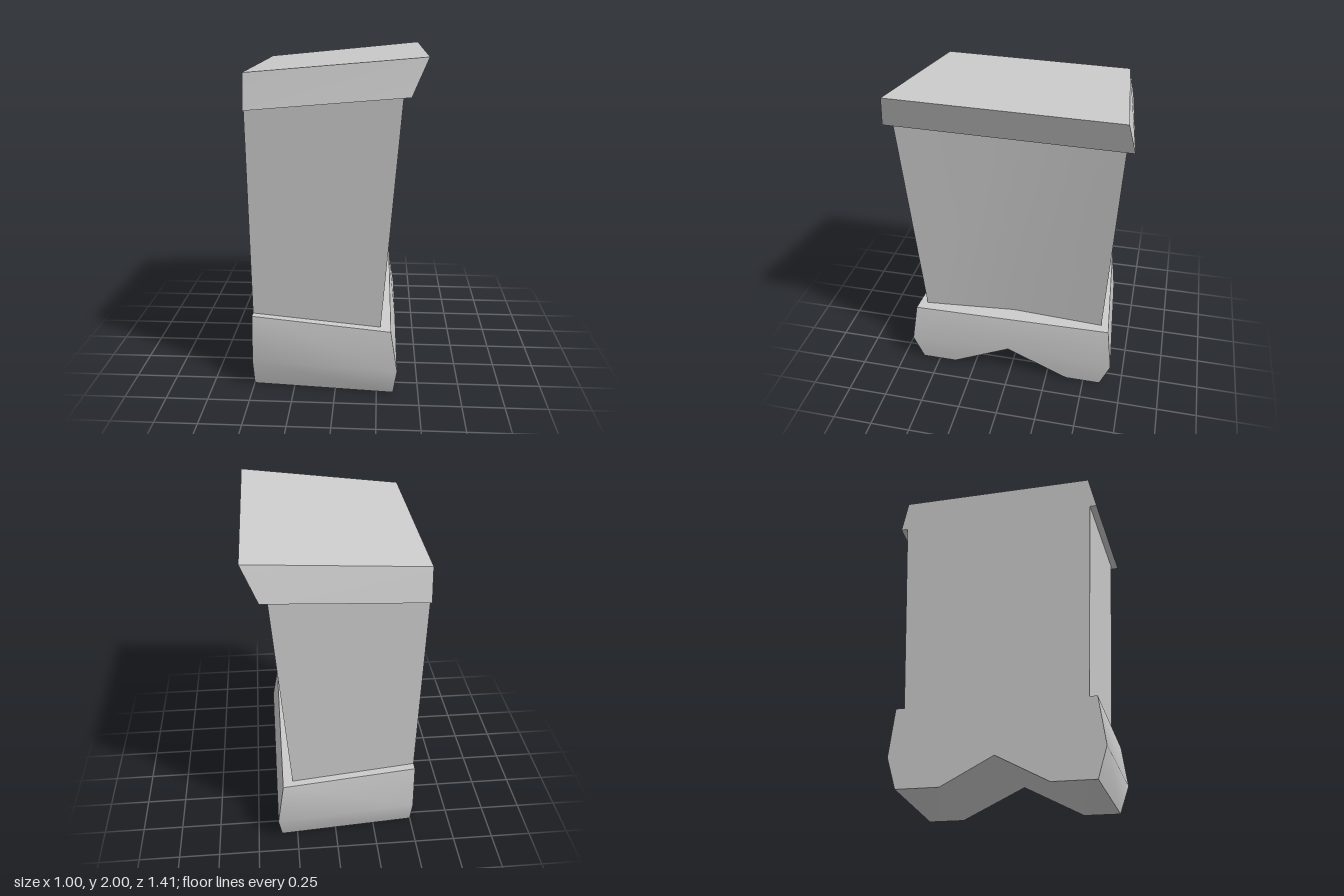
import * as THREE from 'three';
import { toCreasedNormals } from 'three/addons/utils/BufferGeometryUtils.js';

const stone = new THREE.MeshStandardMaterial({ color: 0xcccccc });
stone.name = 'stone grey';

// Closed solid between two matching rings (counter-clockwise seen from the end ring);
// both ends are fanned from the first point.
function loft(name, start, end) {
  const pos = [];
  const tri = (...pts) => pts.forEach((p) => pos.push(...p));
  const n = start.length;
  for (let i = 0; i < n; i++) {
    const j = (i + 1) % n;
    tri(start[i], start[j], end[j]);
    tri(start[i], end[j], end[i]);
  }
  for (let i = 1; i < n - 1; i++) {
    tri(end[0], end[i], end[i + 1]);
    tri(start[0], start[i + 1], start[i]);
  }
  const geo = new THREE.BufferGeometry();
  geo.setAttribute('position', new THREE.Float32BufferAttribute(pos, 3));
  const mesh = new THREE.Mesh(toCreasedNormals(geo, 1.0), stone);
  mesh.name = name;
  return mesh;
}

// Foot: notched section, smaller at the flat end and swelling at the free end
function makeFoot() {
  const flatEnd = [
    [-0.5, 0.16, 0], [-0.5, 0, -0.3], [-0.5, 0, -0.55], [-0.5, 0.18, -0.605], [-0.5, 0.465, -0.575],
    [-0.5, 0.46, 0.57], [-0.5, 0.18, 0.605], [-0.5, 0, 0.55], [-0.5, 0, 0.3],
  ];
  const freeEnd = [
    [0.37, 0.2, 0.01], [0.35, 0, -0.385], [0.35, 0, -0.61], [0.37, 0.175, -0.675], [0.33, 0.435, -0.64],
    [0.33, 0.415, 0.645], [0.37, 0.175, 0.675], [0.35, 0, 0.615], [0.35, 0, 0.39],
  ];
  return loft('foot', flatEnd, freeEnd);
}

// Shaft: widens upward, with its free face slightly hollow along the middle
function makeShaft() {
  const ring = (y, x, hollow, zFree, zFlat) => [
    [x - hollow, y, 0], [x, y, -zFree], [-0.5, y, -zFlat], [-0.5, y, zFlat], [x, y, zFree],
  ];
  return loft('shaft', ring(0.4, 0.268, 0.04, 0.587, 0.522), ring(1.81, 0.372, 0.04, 0.66, 0.59));
}

// Cap: sloping slab whose free end leans outward
function makeCap() {
  const bottom = [[0.41, 1.772, -0.705], [-0.5, 1.69, -0.625], [-0.5, 1.705, 0.625], [0.41, 1.795, 0.705]];
  const top = [[0.5, 1.978, -0.665], [-0.5, 1.885, -0.588], [-0.5, 1.905, 0.582], [0.5, 2, 0.657]];
  return loft('cap', bottom, top);
}

export function createModel() {
  const model = new THREE.Group();
  model.name = 'stone pillar end';
  model.add(makeFoot(), makeShaft(), makeCap());
  return model;
}
